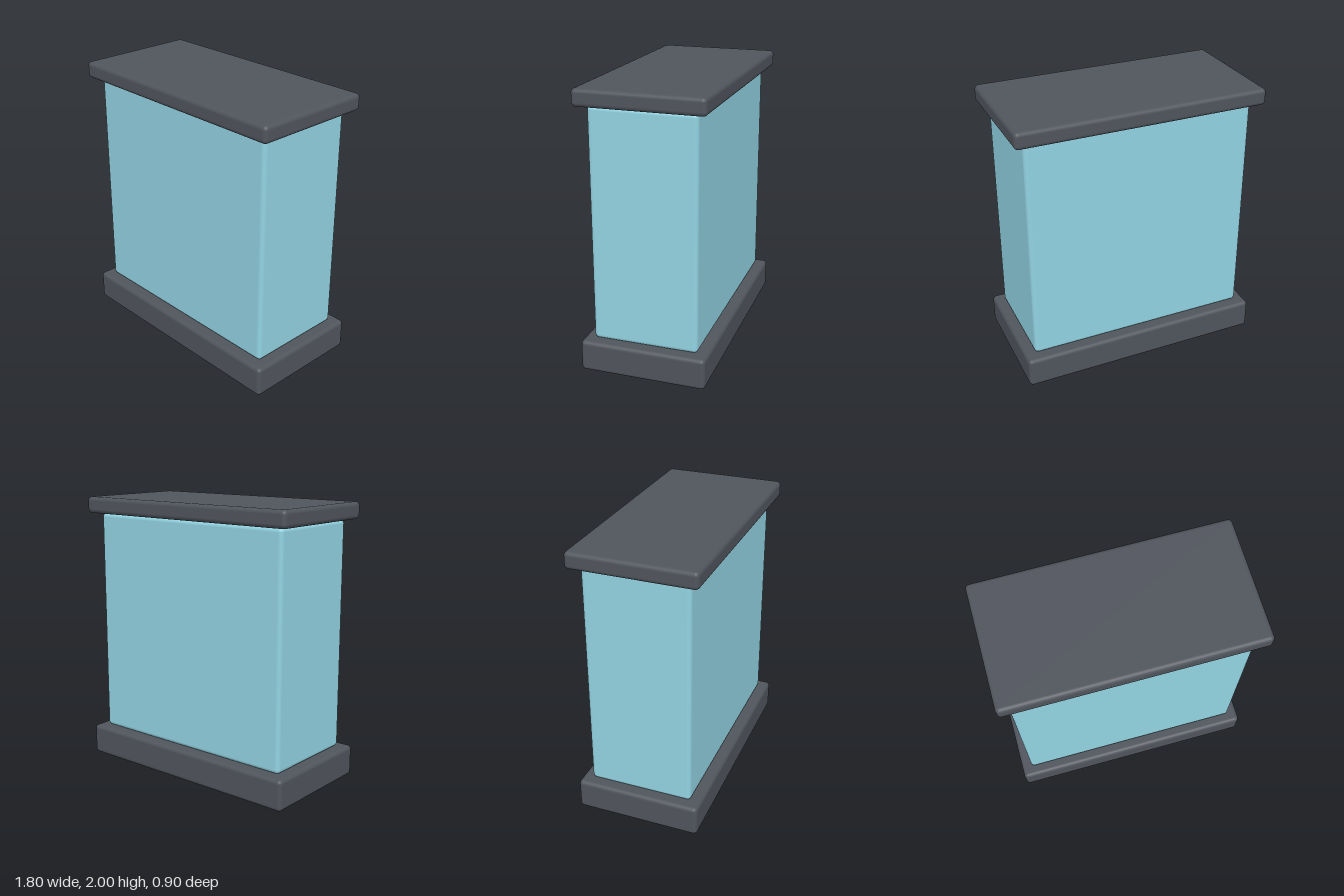
import * as THREE from 'three';
import { RoundedBoxGeometry } from 'three/addons/geometries/RoundedBoxGeometry.js';

export function createModel() {
  const group = new THREE.Group();
  const darkPlastic = new THREE.MeshStandardMaterial({ color: 0x50545c });
  const paleBlue = new THREE.MeshStandardMaterial({ color: 0x92d3e2 });

  // Rounded block spanning heights y0 to y1, centred on x and z
  function block(name, width, depth, y0, y1, radius, material) {
    const geometry = new RoundedBoxGeometry(width, y1 - y0, depth, 4, radius);
    const mesh = new THREE.Mesh(geometry, material);
    mesh.name = name;
    mesh.position.y = (y0 + y1) / 2;
    group.add(mesh);
  }

  block('base', 1.8, 0.9, 0, 0.225, 0.03, darkPlastic);
  block('tank', 1.65, 0.75, 0.225, 1.88, 0.03, paleBlue);
  block('lid', 1.8, 0.9, 1.88, 2, 0.03, darkPlastic);

  return group;
}
